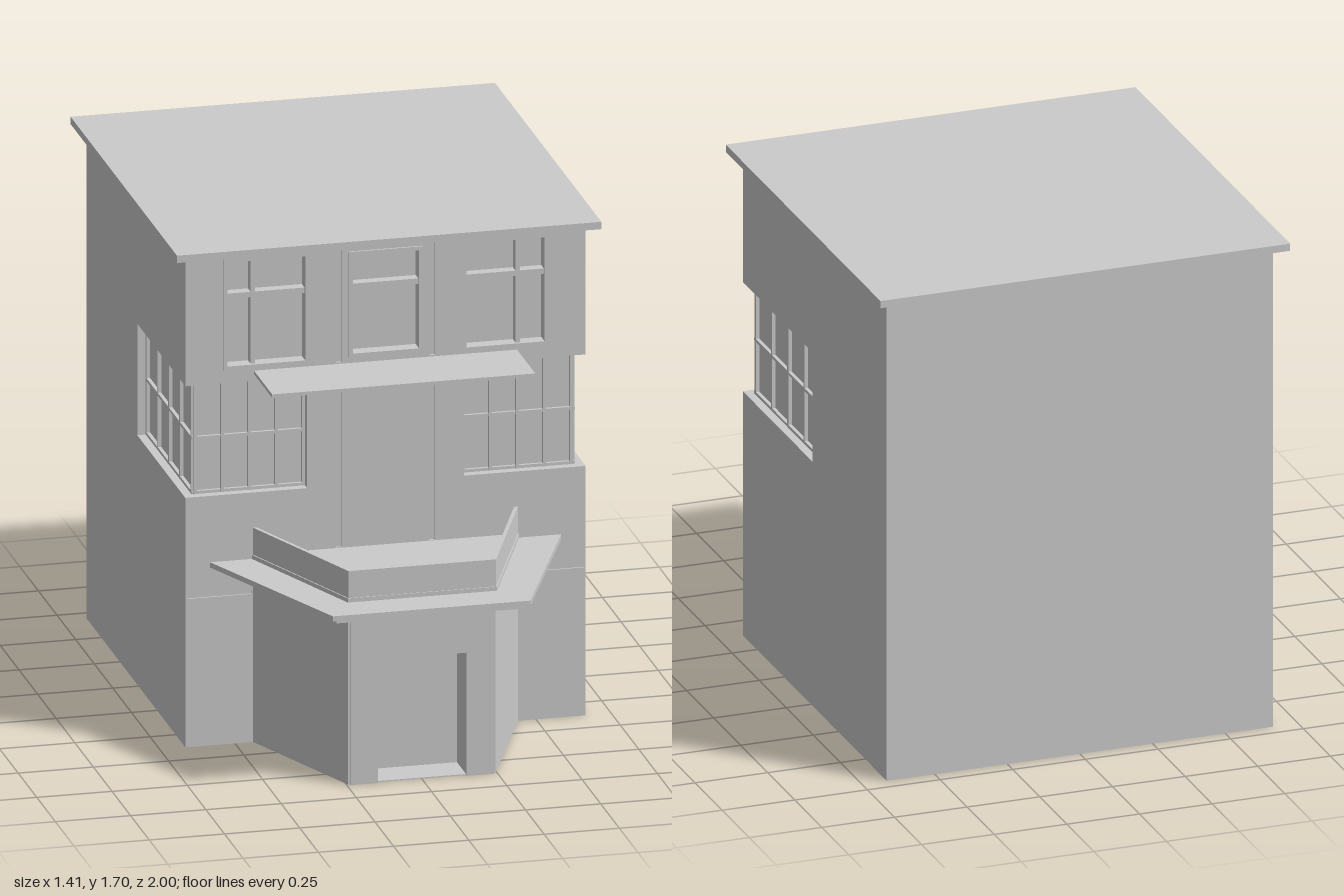
import * as THREE from 'three';

const material = new THREE.MeshStandardMaterial({ color: 0xcccccc, flatShading: true });

export function createModel() {
  const model = new THREE.Group();
  model.name = 'house';

  const add = (name, geometry, parent = model) => {
    const mesh = new THREE.Mesh(geometry, material);
    mesh.name = name;
    parent.add(mesh);
    return mesh;
  };
  // Box given by its limits
  const box = (name, x0, x1, y0, y1, z0, z1, parent) =>
    add(name, new THREE.BoxGeometry(x1 - x0, y1 - y0, z1 - z0)
      .translate((x0 + x1) / 2, (y0 + y1) / 2, (z0 + z1) / 2), parent);
  const toPoints = (list) => list.map(([x, y]) => new THREE.Vector2(x, y));
  const rect = (x0, x1, y0, y1) => [[x0, y0], [x1, y0], [x1, y1], [x0, y1]];
  const extrude = (outline, holes, depth) => {
    const shape = new THREE.Shape(toPoints(outline));
    holes.forEach((h) => shape.holes.push(new THREE.Path(toPoints(h))));
    return new THREE.ExtrudeGeometry(shape, { depth, bevelEnabled: false });
  };
  // Floor plan in (x, z) raised from y0 to y1
  const plan = (name, outline, y0, y1, holes = []) => {
    const flip = (list) => list.map(([x, z]) => [x, -z]);
    return add(name, extrude(flip(outline), holes.map(flip), y1 - y0)
      .rotateX(-Math.PI / 2).translate(0, y0, 0));
  };
  // Right half of an outline completed by its mirror image
  const mirrored = (half) => [...half, ...half.map(([x, y]) => [-x, y]).reverse()];

  const W = 0.665, BACK = -0.95, FRONT = 0.38, INSET = 0.34;
  const SILL = 0.85, HEAD = 1.23, TOP = 1.67;

  // Main walls, set in at the corner windows
  box('lowerWalls', -W, W, 0, SILL, BACK, INSET);
  box('upperWalls', -W, W, HEAD, TOP, BACK, INSET);
  plan('middleWalls', mirrored([[W, BACK], [W, -0.265], [0.625, -0.265], [0.625, INSET]]), SILL, HEAD);

  // Front wall with window openings and shallow grooves
  const openings = [
    { x0: -0.54, x1: -0.255, y0: 1.275, y1: 1.655, mullion: -0.44 },
    { x0: -0.123, x1: 0.123, y0: 1.285, y1: 1.645 },
    { x0: 0.255, x1: 0.54, y0: 1.275, y1: 1.655, mullion: 0.44 },
  ];
  const grooves = [];
  for (const s of [-1, 1]) {
    grooves.push(rect(s * 0.146, s * 0.164, 0.64, 1.25));
    grooves.push(rect(s * 0.146, s * 0.164, 1.27, 1.665));
    grooves.push(rect(s * 0.445, s * 0.66, 0.505, 0.518));
  }
  const facade = mirrored([[W, 0], [W, SILL], [0.26, SILL], [0.26, HEAD], [W, HEAD], [W, TOP]]);
  add('frontWall', extrude(facade,
    [...openings.map((o) => rect(o.x0, o.x1, o.y0, o.y1)), ...grooves], FRONT - INSET)
    .translate(0, 0, INSET));
  for (const s of [-1, 1]) {
    const g = s * 0.155;
    box('wallGroove', g - 0.01, g + 0.01, 0.63, 1.668, INSET, 0.372);
    const c = s * 0.5525;
    box('wallGroove', c - 0.11, c + 0.11, 0.5, 0.523, INSET, 0.375);
  }

  // Upper windows
  for (const o of openings) {
    const win = new THREE.Group();
    win.name = 'upperWindow';
    model.add(win);
    const t = 0.013;
    add('windowFrame', extrude(rect(o.x0, o.x1, o.y0, o.y1),
      [rect(o.x0 + t, o.x1 - t, o.y0 + t, o.y1 - t)], 0.046).translate(0, 0, INSET), win);
    box('transom', o.x0, o.x1, 1.515, 1.533, INSET, 0.376, win);
    if (o.mullion) box('mullion', o.mullion - 0.007, o.mullion + 0.007, o.y0, o.y1, INSET, 0.376, win);
  }

  // Corner windows: glazing bars on the front and side of each corner
  const b = 0.005;
  for (const s of [-1, 1]) {
    const win = new THREE.Group();
    win.name = 'cornerWindow';
    model.add(win);
    const sideX = [s * 0.62, s * 0.637].sort((p, q) => p - q);
    const frontX = [s * 0.26, s * 0.63].sort((p, q) => p - q);
    for (let i = 0; i < 5; i++) {
      const x = s * (0.265 + i * 0.09), z = -0.26 + i * 0.15;
      box('frontBar', x - b, x + b, SILL, HEAD, INSET - 0.005, INSET + 0.012, win);
      box('sideBar', ...sideX, SILL, HEAD, z - b, z + b, win);
    }
    for (const y of [SILL + b, 1.04, HEAD - b]) {
      box('frontRail', ...frontX, y - b, y + b, INSET - 0.005, INSET + 0.01, win);
      box('sideRail', ...sideX, y - b, y + b, -0.265, INSET + 0.01, win);
    }
  }

  // Flat roof and canopy
  box('roof', -0.705, 0.705, TOP, 1.695, -1, 0.43);
  box('canopy', -0.437, 0.437, 1.253, 1.265, FRONT - 0.01, 0.625);

  // Porch with a recessed door and a hollow behind it
  const porch = [[0.44, FRONT], [0.245, 0.867]];
  plan('porchWalls', mirrored([...porch, [0.147, 0.867], [0.147, 0.745]]), 0, 0.42,
    [rect(-0.147, 0.147, 0.39, 0.735)]);
  plan('porchUpperWalls', mirrored(porch), 0.42, 0.6);
  box('doorStep', -0.147, 0.147, 0, 0.004, 0.745, 0.867);
  add('porchFrontPanel', extrude(
    mirrored([[0.147, 0.42], [0.147, 0], [0.237, 0], [0.237, 0.595]]), [], 0.01)
    .translate(0, 0, 0.865));

  // Porch ledge in two layers, then the parapet
  plan('ledgeLower', mirrored([[0.55, FRONT], [0.31, 0.975]]), 0.59, 0.606);
  plan('ledgeUpper', mirrored([[0.583, FRONT], [0.328, 1]]), 0.606, 0.624);
  plan('porchRoof', mirrored([[0.444, FRONT], [0.248, 0.878]]), 0.62, 0.638);
  plan('parapet', mirrored([[0.427, FRONT], [0.44, FRONT], [0.245, 0.875]])
    .concat([[-0.237, 0.863], [0.237, 0.863]].slice(0, 2)), 0.63, 0.73);

  return model;
}
